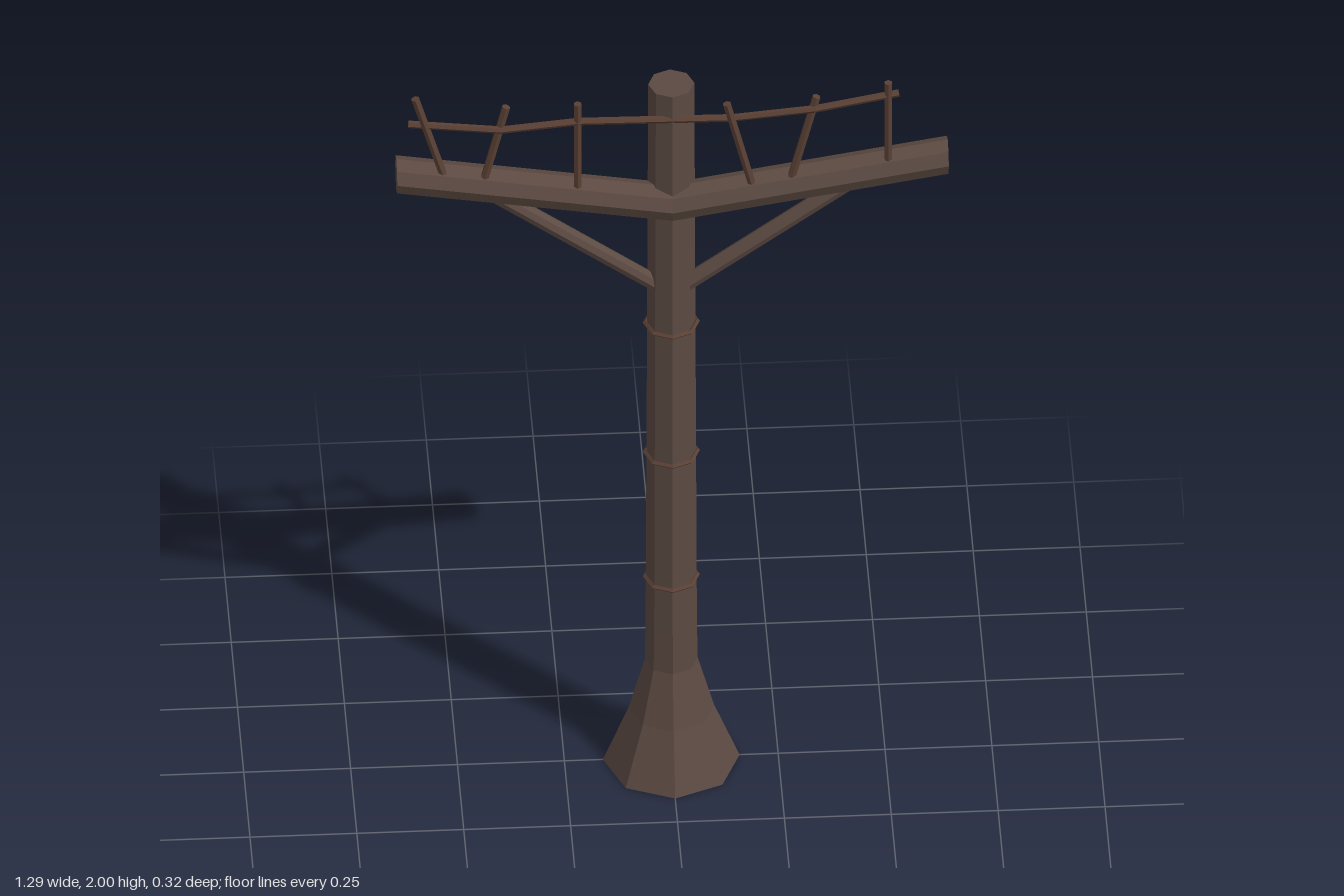
import * as THREE from 'three';

const material = (color) => new THREE.MeshStandardMaterial({ color, flatShading: true });
const wood = material(0x5c4a42);
const twig = material(0x5a4034);
const UP = new THREE.Vector3(0, 1, 0);

// Straight round bar between two points
function bar(name, from, to, radius, sides, mat) {
  const a = new THREE.Vector3(...from);
  const b = new THREE.Vector3(...to);
  const dir = b.clone().sub(a);
  const mesh = new THREE.Mesh(new THREE.CylinderGeometry(radius, radius, dir.length(), sides), mat);
  mesh.position.copy(a).add(b).multiplyScalar(0.5);
  mesh.quaternion.setFromUnitVectors(UP, dir.normalize());
  mesh.name = name;
  return mesh;
}

export function createModel() {
  const model = new THREE.Group();
  model.name = 'woodenPole';

  // Eight-sided pole with a flared foot
  const profile = [[0, 0], [0.16, 0], [0.1, 0.15], [0.062, 0.29], [0.06, 0.4],
    [0.058, 0.93], [0.056, 1.46], [0.054, 1.98], [0, 1.98]];
  const pole = new THREE.Mesh(
    new THREE.LatheGeometry(profile.map(([r, y]) => new THREE.Vector2(r, y)), 8), wood);
  pole.name = 'pole';
  model.add(pole);

  // Thin bands around the pole
  for (const y of [0.535, 0.9, 1.28]) {
    const band = new THREE.Mesh(new THREE.TorusGeometry(0.061, 0.006, 4, 8), twig);
    band.rotation.x = Math.PI / 2;
    band.position.y = y;
    band.name = 'band';
    model.add(band);
  }

  // Cross beam bent upwards from the middle, with vertical end cuts
  const beamShape = new THREE.CylinderGeometry(0.045, 0.045, 1.29, 8, 2);
  beamShape.rotateZ(Math.PI / 2);
  const p = beamShape.attributes.position;
  for (let i = 0; i < p.count; i++) p.setY(i, p.getY(i) + 0.17 * Math.abs(p.getX(i)));
  const beam = new THREE.Mesh(beamShape, wood);
  beam.position.set(0, 1.655, 0.03);
  beam.name = 'crossBeam';
  model.add(beam);

  // Diagonal braces under the beam
  for (const s of [-1, 1]) {
    model.add(bar(s > 0 ? 'leftBrace' : 'rightBrace',
      [s * 0.02, 1.395, 0.017], [s * 0.44, 1.705, 0.017], 0.02, 8, wood));
  }

  // Crooked railing posts: bottom x, bottom y, top x, top y
  const railing = new THREE.Group();
  railing.name = 'railing';
  const posts = [[-0.535, 1.77, -0.602, 2.0], [-0.442, 1.75, -0.389, 1.967],
    [-0.222, 1.71, -0.222, 1.968], [0.187, 1.71, 0.127, 1.953],
    [0.278, 1.73, 0.337, 1.965], [0.505, 1.77, 0.505, 1.998]];
  for (const [x0, y0, x1, y1] of posts) {
    railing.add(bar('railingPost', [x0, y0, 0.05], [x1, y1, 0.05], 0.01, 6, twig));
  }

  // Handrail in short uneven lengths
  const path = [[-0.618, 1.922, 0.045], [-0.4, 1.905, 0.058], [-0.22, 1.916, 0.05],
    [0.14, 1.907, 0.045], [0.335, 1.935, 0.058], [0.53, 1.965, 0.048]];
  for (let i = 1; i < path.length; i++) {
    railing.add(bar('handrail', path[i - 1], path[i], 0.009, 6, twig));
  }
  model.add(railing);
  return model;
}
